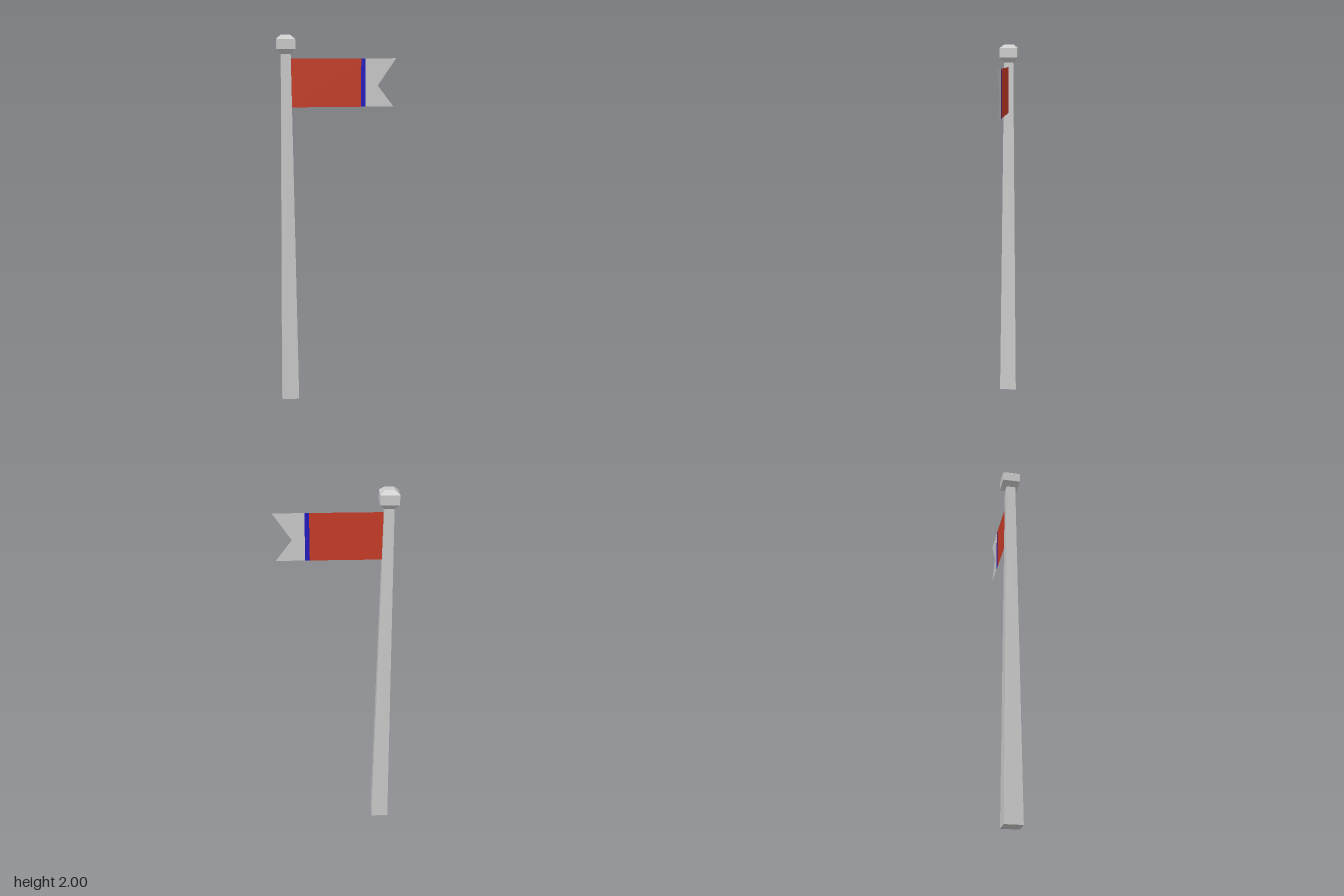
import * as THREE from 'three';

const POLE_X = -0.267;
const BOTTOM = 1.63, TOP = 1.88;

const paint = (color, side = THREE.FrontSide) =>
  new THREE.MeshStandardMaterial({ color, side, flatShading: true });

// Four-sided tapered block centred on the pole axis, sized by half widths
function taper(name, bottomHalf, topHalf, y0, y1, openEnded = false) {
  const r = Math.SQRT2;
  const geometry = new THREE.CylinderGeometry(topHalf * r, bottomHalf * r, y1 - y0, 4, 1, openEnded);
  geometry.rotateY(Math.PI / 4);
  const mesh = new THREE.Mesh(geometry, paint(0xcccccc));
  mesh.name = name;
  mesh.position.set(POLE_X, (y0 + y1) / 2, 0);
  return mesh;
}

// Flat cloth panel from its outline, seen from both sides
function panel(name, color, outline) {
  const shape = new THREE.Shape(outline.map(([x, y]) => new THREE.Vector2(x, y)));
  const mesh = new THREE.Mesh(new THREE.ShapeGeometry(shape), paint(color, THREE.DoubleSide));
  mesh.name = name;
  return mesh;
}

const strip = (x0, x1) => [[x0, BOTTOM], [x1, BOTTOM], [x1, TOP], [x0, TOP]];

export function createModel() {
  const model = new THREE.Group();
  model.name = 'flagOnPole';

  // Tapered square pole
  model.add(taper('pole', 0.047, 0.025, 0, 1.905));

  // Bevelled finial
  const finial = new THREE.Group();
  finial.name = 'finial';
  finial.add(
    taper('finialBase', 0.025, 0.048, 1.905, 1.93, true),
    taper('finialBlock', 0.048, 0.048, 1.93, 1.98, true),
    taper('finialTop', 0.048, 0.0245, 1.98, 2)
  );
  model.add(finial);

  // Flag with a stripe and a swallow tail
  const flag = new THREE.Group();
  flag.name = 'flag';
  flag.add(
    panel('flagCloth', 0xc83c26, strip(-0.243, 0.125)),
    panel('flagStripe', 0x2218c0, strip(0.125, 0.148)),
    panel('flagTail', 0xcccccc, [
      [0.148, BOTTOM], [0.297, BOTTOM], [0.213, 1.74], [0.308, TOP], [0.148, TOP],
    ])
  );
  model.add(flag);

  return model;
}
